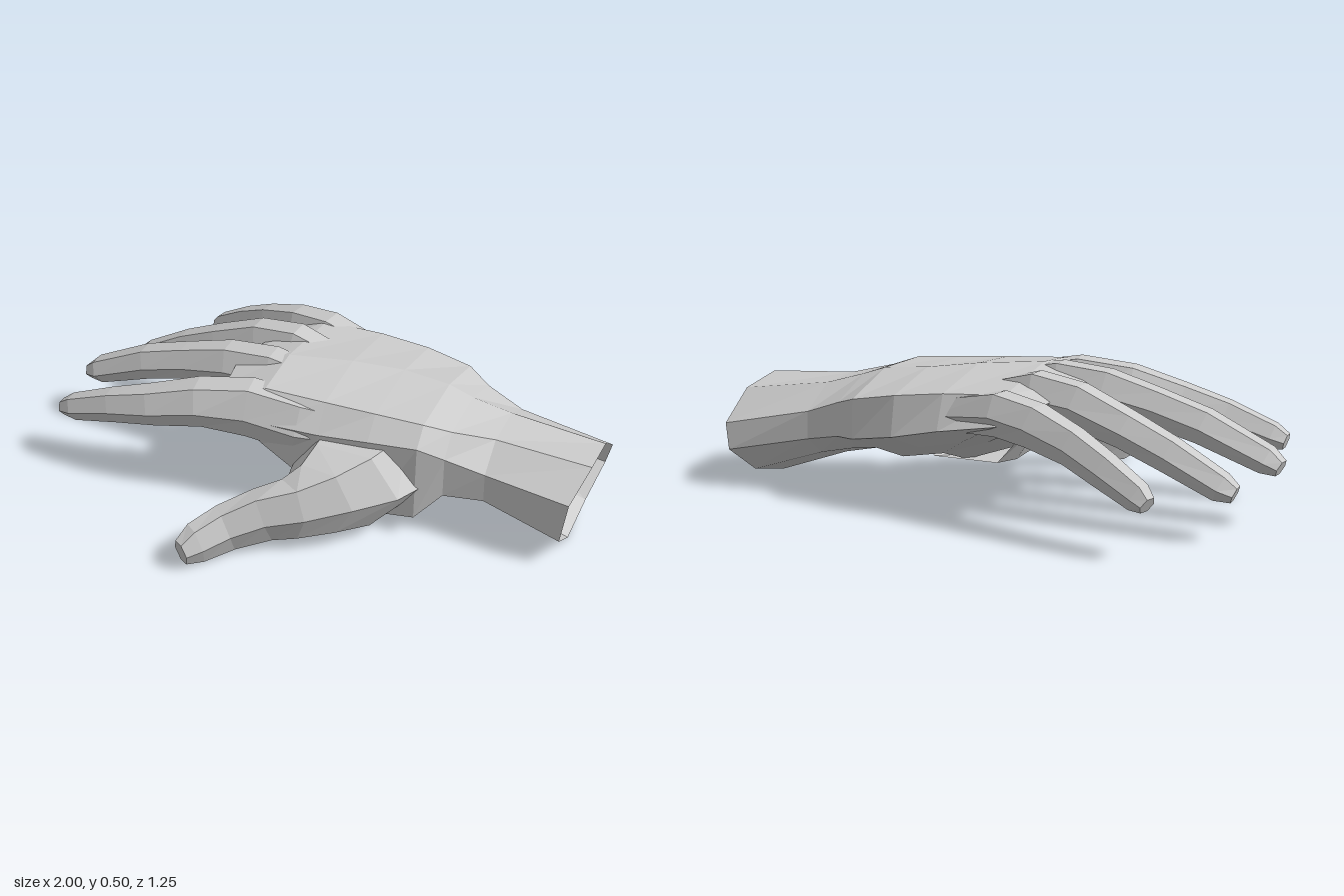
import * as THREE from 'three';

const material = new THREE.MeshStandardMaterial({ color: 0xcccccc, flatShading: true, side: THREE.DoubleSide });

// Skin a list of equal-length rings; the last ring is closed with a fan.
function loft(name, rings) {
  const n = rings[0].length;
  const tip = new THREE.Vector3();
  rings.at(-1).forEach(p => tip.addScaledVector(p, 1 / n));
  const points = [...rings.flat(), tip];
  const index = [];
  rings.forEach((ring, i) => {
    for (let j = 0; j < n; j++) {
      const a = i * n + j, b = i * n + (j + 1) % n;
      if (i === rings.length - 1) index.push(a, b, points.length - 1);
      else index.push(a, b, a + n, b, b + n, a + n);
    }
  });
  const indexed = new THREE.BufferGeometry().setFromPoints(points);
  indexed.setIndex(index);
  const geometry = indexed.toNonIndexed();
  geometry.computeVertexNormals();
  const mesh = new THREE.Mesh(geometry, material);
  mesh.name = name;
  return mesh;
}

// Six-sided finger; each station is [x, y, z, half width, half height] plus an
// optional heading (angle from +z towards -x) where the section does not follow the path.
function finger(name, stations) {
  const centres = stations.map(s => new THREE.Vector3(s[0], s[1], s[2]));
  const rings = stations.map(([, , , w, h, heading], i) => {
    const along = heading === undefined
      ? centres[Math.min(i + 1, centres.length - 1)].clone().sub(centres[Math.max(i - 1, 0)]).normalize()
      : new THREE.Vector3(-Math.sin(heading), 0, Math.cos(heading));
    const side = new THREE.Vector3(0, 1, 0).cross(along).normalize();
    const up = along.clone().cross(side);
    return Array.from({ length: 6 }, (_, j) => {
      const t = j * Math.PI / 3;
      return centres[i].clone()
        .addScaledVector(side, w * Math.cos(t))
        .addScaledVector(up, h * Math.sin(t) / 0.87);
    });
  });
  return loft(name, rings);
}

// Palm section at x: [y, z] pairs from the thumb side, over the back, to the underside.
const section = (x, pairs) => pairs.map(([y, z]) => new THREE.Vector3(x, y, z));

export function createModel() {
  const hand = new THREE.Group();
  hand.name = 'hand';

  // Slanted open cuff of the wrist, then sections towards the knuckles
  const cuffX = [0.965, 1, 1, 1, 0.98, 0.95, 0.94, 0.945];
  const cuff = section(0, [[0.29, 0.08], [0.375, -0.05], [0.345, -0.24], [0.24, -0.385],
    [0.145, -0.4], [0.045, -0.28], [0.003, -0.1], [0.12, 0.07]]);
  cuff.forEach((p, i) => { p.x = cuffX[i]; });

  const knuckleX = [-0.27, -0.31, -0.33, -0.25, -0.22, -0.25, -0.28, -0.26];
  const knuckles = section(0, [[0.39, 0.18], [0.44, 0.1], [0.46, -0.08], [0.41, -0.4],
    [0.36, -0.47], [0.34, -0.3], [0.34, -0.08], [0.32, 0.13]]);
  knuckles.forEach((p, i) => { p.x = knuckleX[i]; });

  hand.add(loft('palmAndWrist', [
    cuff,
    section(0.66, [[0.31, 0.06], [0.395, -0.04], [0.39, -0.22], [0.31, -0.365],
      [0.21, -0.37], [0.14, -0.28], [0.1, -0.1], [0.19, 0.05]]),
    section(0.52, [[0.35, 0.085], [0.425, 0.02], [0.43, -0.2], [0.36, -0.39],
      [0.24, -0.4], [0.17, -0.28], [0.13, -0.1], [0.19, 0.08]]),
    section(0.43, [[0.39, 0.12], [0.455, 0.06], [0.46, -0.2], [0.39, -0.44],
      [0.25, -0.45], [0.18, -0.28], [0.1, -0.08], [0.09, 0.12]]),
    section(0.26, [[0.39, 0.15], [0.465, 0.08], [0.475, -0.2], [0.42, -0.45],
      [0.28, -0.48], [0.2, -0.28], [0.13, -0.08], [0.06, 0.12]]),
    section(0.08, [[0.38, 0.17], [0.475, 0.1], [0.495, -0.15], [0.44, -0.44],
      [0.32, -0.49], [0.24, -0.3], [0.19, -0.08], [0.12, 0.15]]),
    section(-0.14, [[0.39, 0.2], [0.485, 0.12], [0.505, -0.08], [0.45, -0.42],
      [0.36, -0.51], [0.31, -0.3], [0.29, -0.08], [0.27, 0.16]]),
    knuckles,
  ]));

  hand.add(finger('indexFinger', [
    [0.2, 0.33, 0.04, 0.07, 0.08], [-0.02, 0.36, 0.1, 0.09, 0.1], [-0.2, 0.39, 0.125, 0.088, 0.1],
    [-0.38, 0.385, 0.16, 0.088, 0.08], [-0.56, 0.34, 0.19, 0.076, 0.068],
    [-0.72, 0.3, 0.203, 0.062, 0.058], [-0.89, 0.245, 0.207, 0.05, 0.045],
    [-0.94, 0.23, 0.205, 0.035, 0.027]]));
  hand.add(finger('middleFinger', [
    [0.08, 0.4, -0.06, 0.06, 0.06], [-0.2, 0.425, -0.07, 0.08, 0.082], [-0.37, 0.415, -0.07, 0.076, 0.075],
    [-0.55, 0.375, -0.07, 0.068, 0.062], [-0.72, 0.325, -0.07, 0.068, 0.058],
    [-0.94, 0.23, -0.068, 0.06, 0.045], [-0.99, 0.207, -0.075, 0.038, 0.027]]));
  hand.add(finger('ringFinger', [
    [0.08, 0.37, -0.23, 0.06, 0.06], [-0.19, 0.422, -0.255, 0.078, 0.08], [-0.34, 0.405, -0.27, 0.074, 0.072],
    [-0.52, 0.34, -0.285, 0.07, 0.06], [-0.67, 0.275, -0.295, 0.062, 0.056],
    [-0.85, 0.185, -0.3, 0.056, 0.045], [-0.898, 0.165, -0.3, 0.038, 0.027]]));
  hand.add(finger('littleFinger', [
    [0.12, 0.36, -0.39, 0.06, 0.05], [-0.13, 0.39, -0.435, 0.078, 0.072], [-0.27, 0.37, -0.47, 0.073, 0.07],
    [-0.42, 0.325, -0.515, 0.06, 0.06], [-0.54, 0.27, -0.552, 0.054, 0.055],
    [-0.665, 0.205, -0.583, 0.047, 0.045], [-0.7, 0.185, -0.595, 0.035, 0.027]]));

  // Thumb fans out of the side of the palm from a broad root
  hand.add(finger('thumb', [
    [0.23, 0.23, 0.04, 0.26, 0.15, 0], [0.19, 0.21, 0.19, 0.205, 0.15, 0], [0.137, 0.2, 0.285, 0.135, 0.125, 0.11],
    [0.055, 0.175, 0.348, 0.088, 0.105, 0.52], [-0.03, 0.15, 0.385, 0.07, 0.095],
    [-0.14, 0.11, 0.46, 0.062, 0.085], [-0.21, 0.086, 0.55, 0.054, 0.075],
    [-0.24, 0.075, 0.605, 0.036, 0.047]]));
  return hand;
}
